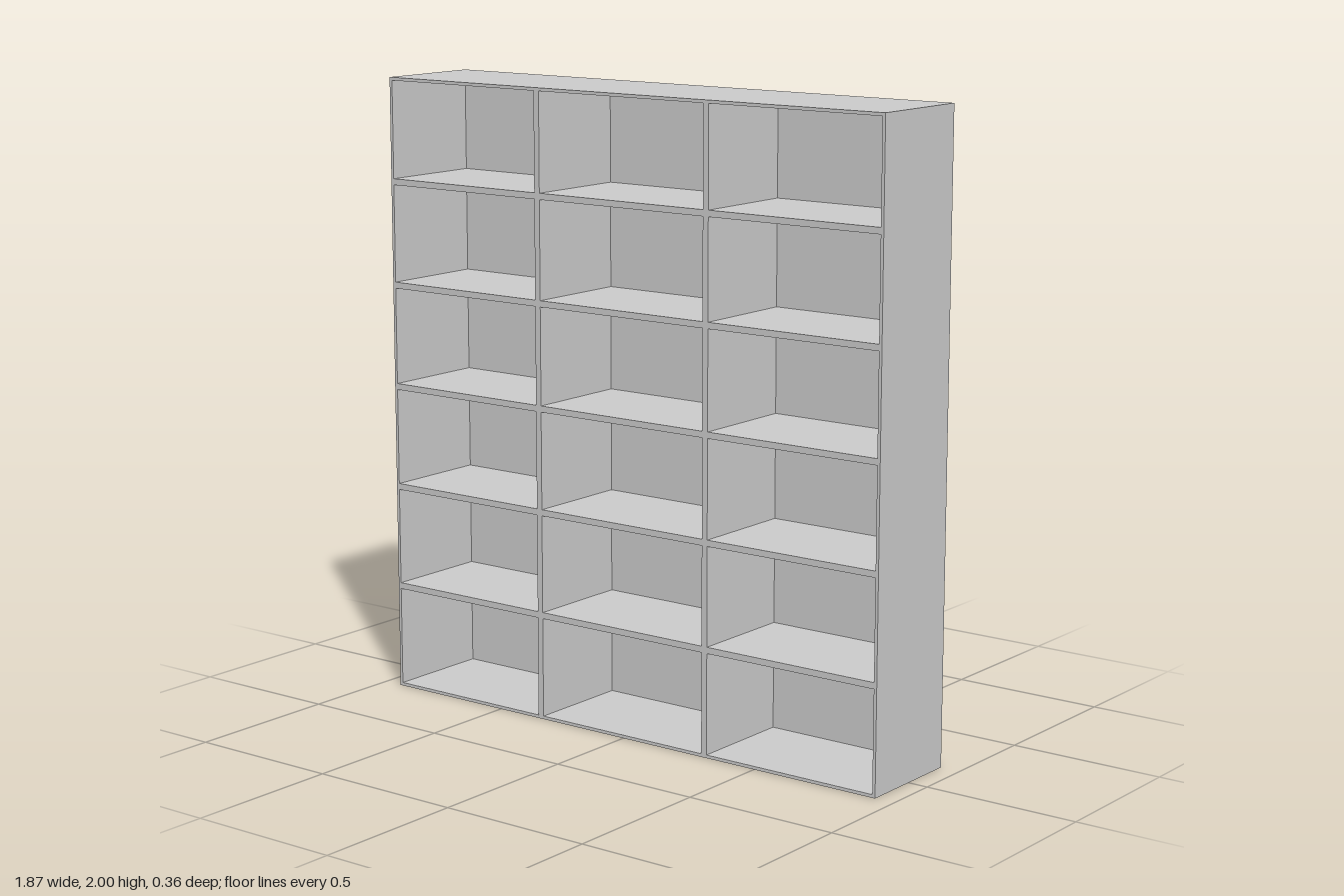
import * as THREE from 'three';

const W = 1.87, H = 2, D = 0.36; // overall size
const WALL = 0.01, BOARD = 0.02; // outer panel and inner board thickness
const DIVIDERS = [-0.332, 0.312]; // x centres of the uprights
const SHELVES = [0.34, 0.673, 1.004, 1.335, 1.668]; // y centres of the shelves

export function createModel() {
  const group = new THREE.Group();
  group.name = 'shelvingUnit';
  const material = new THREE.MeshStandardMaterial({ color: 0xcccccc });

  // Board spanning the given ranges on each axis
  const board = (name, [x0, x1], [y0, y1], [z0, z1]) => {
    const mesh = new THREE.Mesh(new THREE.BoxGeometry(x1 - x0, y1 - y0, z1 - z0), material);
    mesh.position.set((x0 + x1) / 2, (y0 + y1) / 2, (z0 + z1) / 2);
    mesh.name = name;
    group.add(mesh);
  };

  const depth = [-D / 2 + WALL, D / 2];
  const inner = [WALL, H - WALL];

  // Outer case
  board('backPanel', [-W / 2, W / 2], [0, H], [-D / 2, -D / 2 + WALL]);
  board('bottomPanel', [-W / 2, W / 2], [0, WALL], depth);
  board('topPanel', [-W / 2, W / 2], [H - WALL, H], depth);
  board('rightSide', [-W / 2, -W / 2 + WALL], inner, depth);
  board('leftSide', [W / 2 - WALL, W / 2], inner, depth);

  // Full-height uprights
  for (const x of DIVIDERS) board('divider', [x - BOARD / 2, x + BOARD / 2], inner, depth);

  // Shelves fitted between the uprights in each bay
  const edges = [-W / 2 + WALL, ...DIVIDERS.flatMap((x) => [x - BOARD / 2, x + BOARD / 2]), W / 2 - WALL];
  for (let i = 0; i < edges.length; i += 2) {
    for (const y of SHELVES) {
      board('shelf', [edges[i], edges[i + 1]], [y - BOARD / 2, y + BOARD / 2], depth);
    }
  }
  return group;
}
